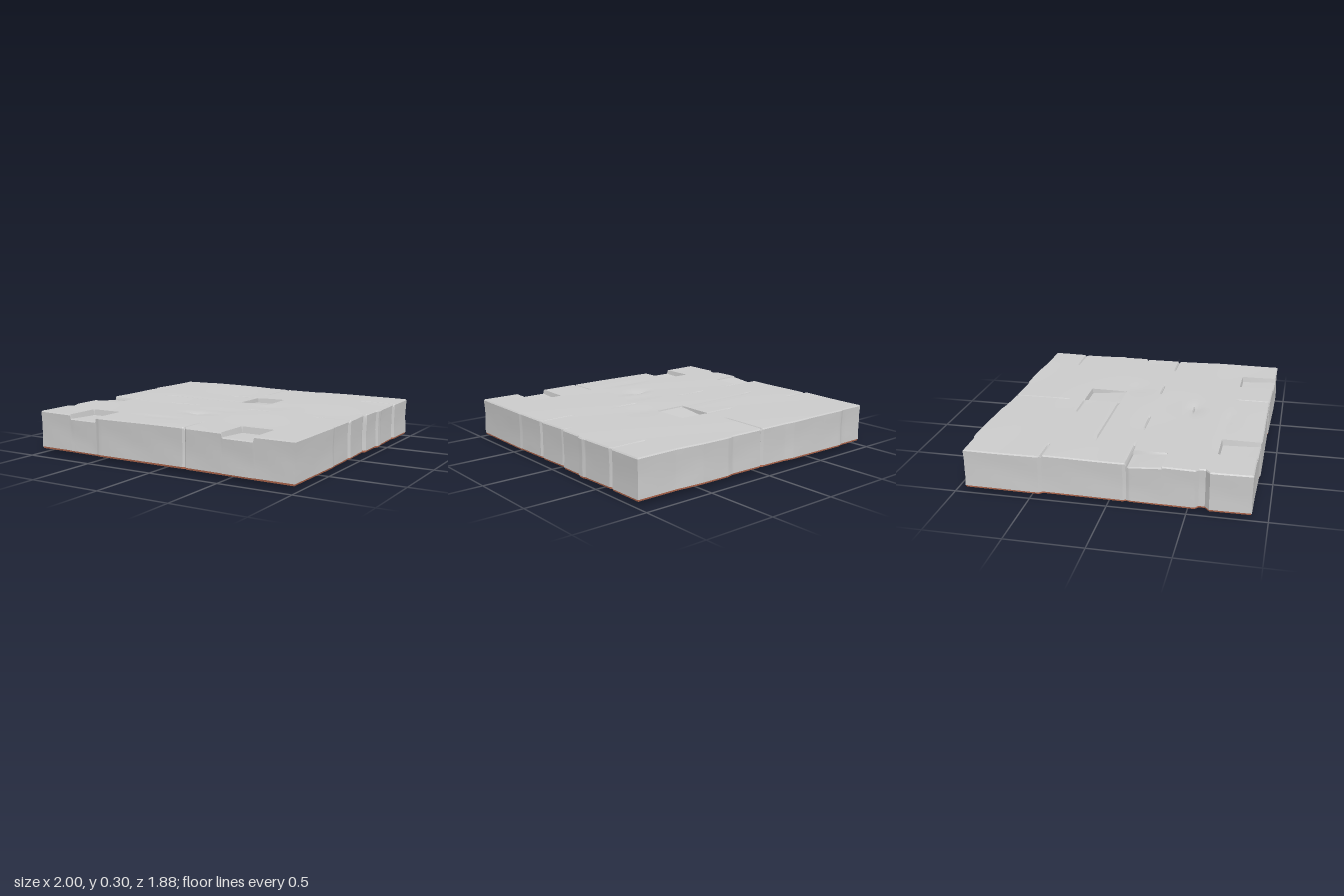
import * as THREE from 'three';
import { toCreasedNormals } from 'three/addons/utils/BufferGeometryUtils.js';

const X = 0.99, Z = 0.92, BASE = 0.035, TOP = 0.302;

// Cracks along x: [z, x0, x1], and along z: [x, z0, z1]
const cracksX = [
  [-0.65, 0.72, 1.05], [-0.42, -1.05, -0.78], [-0.4, -0.24, 0.02], [-0.145, -0.66, 0.02],
  [-0.12, 0.93, 1.05], [0.12, -1.05, -0.68], [0.125, -0.42, -0.2], [0.12, 0.2, 0.4],
  [0.14, 0.73, 1.05], [0.4, -0.07, 0.05],
];
const cracksZ = [[-0.01, -1, -0.53], [0.21, 0.68, 1]];

// Sunken stones: x0, x1, z0, z1, then the depth at the back and front edge
const recesses = [
  [-0.73, -0.5, 0.655, 1, 0.04, 0.026],
  [0.485, 0.715, 0.68, 1, 0.04, 0.026],
  [-0.005, 0.22, -0.4, -0.135, 0.035, 0.008],
  [-1.05, -0.78, 0.12, 0.345, 0.026, 0.008],
];

// Uneven outline, as offsets of each side: position along the side, offset
const outline = {
  front: [[-1, -0.02], [-0.74, -0.018], [-0.5, -0.012], [-0.47, -0.004], [0.195, -0.002],
    [0.21, -0.014], [0.225, 0.002], [0.7, 0.014], [1, 0.018]],
  back: [[-1, 0.01], [-0.8, 0.012], [-0.77, 0.023], [-0.3, 0.015], [-0.22, 0.004], [-0.025, -0.002],
    [-0.01, -0.016], [0.005, -0.002], [0.24, -0.008], [0.29, 0.004], [0.5, 0.003], [0.7, -0.012], [1, -0.012]],
  left: [[-0.92, 0.002], [-0.44, 0.006], [-0.42, -0.014], [-0.1, -0.01], [0.1, -0.006], [0.12, -0.018],
    [0.14, -0.01], [0.35, -0.004], [0.55, 0], [0.57, -0.026], [0.61, -0.028], [0.64, 0.008], [0.92, 0.004]],
  right: [[-0.92, 0], [-0.66, 0], [-0.64, -0.018], [-0.62, -0.006], [-0.38, 0.003], [-0.36, 0.011],
    [-0.32, 0.01], [-0.3, -0.003], [-0.13, -0.002], [-0.11, -0.024], [-0.09, -0.016], [0.13, -0.006],
    [0.15, -0.022], [0.17, -0.01], [0.4, -0.004], [0.42, 0.001], [0.92, -0.004]],
};

const smooth = THREE.MathUtils.smoothstep;
const hill = (x, z, cx, cz, rx, rz) => Math.exp(-(((x - cx) / rx) ** 2) - ((z - cz) / rz) ** 2);

function along(points, t) {
  for (let i = 1; i < points.length; i++) {
    const [a, va] = points[i - 1], [b, vb] = points[i];
    if (t <= b) return THREE.MathUtils.lerp(va, vb, THREE.MathUtils.clamp((t - a) / (b - a), 0, 1));
  }
  return points[points.length - 1][1];
}

// Grid lines: even spacing plus tight lines round every crack, stone and notch
function gridLines(half, features) {
  const lines = [];
  for (let i = 0; i <= 40; i++) lines.push(-half + (2 * half * i) / 40);
  for (const f of features) lines.push(f - 0.007, f, f + 0.007);
  const sorted = lines.filter((v) => Math.abs(v) <= half).sort((a, b) => a - b);
  return sorted.filter((v, i) => i === 0 || v - sorted[i - 1] > 0.0005);
}
const xs = gridLines(X, [...cracksZ.map((c) => c[0]), ...recesses.flatMap((r) => [r[0], r[1]]),
  ...outline.front.map((p) => p[0]), ...outline.back.map((p) => p[0])]);
const zs = gridLines(Z, [...cracksX.map((c) => c[0]), ...recesses.flatMap((r) => [r[2], r[3]]),
  ...outline.left.map((p) => p[0]), ...outline.right.map((p) => p[0])]);

// Moves a point of the plain rectangle onto the uneven outline
function plan(x, z, inset = 0) {
  const wx = smooth(Math.abs(x), X - 0.06, X), wz = smooth(Math.abs(z), Z - 0.06, Z);
  const dx = x > 0 ? along(outline.right, z) : -along(outline.left, z);
  const dz = z > 0 ? along(outline.front, x) : -along(outline.back, x);
  return [x + wx * (dx - Math.sign(x) * inset), z + wz * (dz - Math.sign(z) * inset)];
}

function crackDepth(across, t, [c, a, b]) {
  const taper = smooth(t, a, a + 0.05) * (1 - smooth(t, b - 0.05, b));
  return 0.014 * taper * Math.max(0, 1 - Math.abs(across - c) / 0.008);
}

// Worn upper surface
function topHeight(x, z) {
  let y = TOP - 0.003 + 0.0016 * Math.sin(5 * x + 2 * z) + 0.0012 * Math.sin(9 * z - 4 * x + 1);
  y -= 0.014 * hill(x, z, -0.01, 0.41, 0.1, 0.05) + 0.007 * hill(x, z, 0.3, -0.06, 0.12, 0.1);
  y -= 0.005 * hill(x, z, 0.08, 0.24, 0.14, 0.06) + 0.005 * hill(x, z, -0.15, 0.68, 0.15, 0.04);
  for (const c of cracksX) y -= crackDepth(z, x, c);
  for (const c of cracksZ) y -= crackDepth(x, z, c);
  for (const [x0, x1, z0, z1, d0, d1] of recesses) {
    const e = 0.0001;
    if (x > x0 + e && x < x1 - e && z > z0 + e && z < z1 - e) y -= THREE.MathUtils.lerp(d0, d1, (z - z0) / (z1 - z0));
  }
  return y;
}

// Rough underside, with a few lumps hanging lower
function bottomHeight(x, z) {
  const inner = (1 - smooth(Math.abs(x), 0.75, X)) * (1 - smooth(Math.abs(z), 0.75, Z));
  const lumps = 0.022 * hill(x, z, -0.02, 0.5, 0.16, 0.1) + 0.024 * hill(x, z, 0.2, -0.14, 0.1, 0.06)
    + 0.006 + 0.003 * Math.sin(5 * x + 2 * z);
  let y = BASE - inner * lumps;
  for (const c of cracksX) y += inner * 0.5 * crackDepth(z, x, c);
  return Math.max(0, y);
}

// Surface from rows and columns of points
function surface(rows, cols, point, flip) {
  const position = [], index = [];
  for (let i = 0; i < rows; i++) for (let j = 0; j < cols; j++) position.push(...point(i, j));
  for (let i = 0; i < rows - 1; i++) {
    for (let j = 0; j < cols - 1; j++) {
      const a = i * cols + j, b = a + 1, c = a + cols, d = c + 1;
      index.push(...(flip ? [a, b, c, b, d, c] : [a, c, b, b, c, d]));
    }
  }
  const geometry = new THREE.BufferGeometry();
  geometry.setAttribute('position', new THREE.Float32BufferAttribute(position, 3));
  geometry.setIndex(index);
  return toCreasedNormals(geometry, 0.5);
}

export function createModel() {
  const group = new THREE.Group();
  group.name = 'stoneFloorTile';
  const stone = new THREE.MeshStandardMaterial({ color: 0xcccccc });
  const earth = new THREE.MeshStandardMaterial({ color: 0xd98060 });
  const add = (name, geometry, material) => {
    const mesh = new THREE.Mesh(geometry, material);
    mesh.name = name;
    group.add(mesh);
  };
  const bevel = 0.007;

  // Flat faces
  const sheet = (height, flip) => surface(zs.length, xs.length, (i, j) => {
    const [x, z] = plan(xs[j], zs[i], bevel);
    return [x, height(xs[j], zs[i]), z];
  }, flip);
  add('topSurface', sheet(topHeight, false), stone);
  add('underside', sheet(bottomHeight, true), earth);

  // Closed loop round the edge: front, right, back, left
  const loop = [
    ...xs.map((x) => [x, Z]), ...[...zs].reverse().slice(1).map((z) => [X, z]),
    ...[...xs].reverse().slice(1).map((x) => [x, -Z]), ...zs.slice(1).map((z) => [-X, z]),
  ];
  // Each row: height from 0 (bottom) to 1 (top), and inset
  const band = (rows) => surface(rows.length, loop.length, (i, j) => {
    const [x0, z0] = loop[j], [t, inset] = rows[i];
    const wave = 0.003 * Math.sin(Math.PI * t) * Math.sin(7 * x0 + 5 * z0 + 4 * t);
    const [x, z] = plan(x0, z0, inset + Math.abs(wave));
    return [x, THREE.MathUtils.lerp(bottomHeight(x0, z0), topHeight(x0, z0), t), z];
  }, true);
  add('sideWalls', band([[0.05, 0], [0.28, 0.001], [0.5, 0.002], [0.75, 0.001], [0.97, 0], [1, bevel]]), stone);
  add('lowerRim', band([[0, bevel], [0.05, 0]]), earth);
  return group;
}
